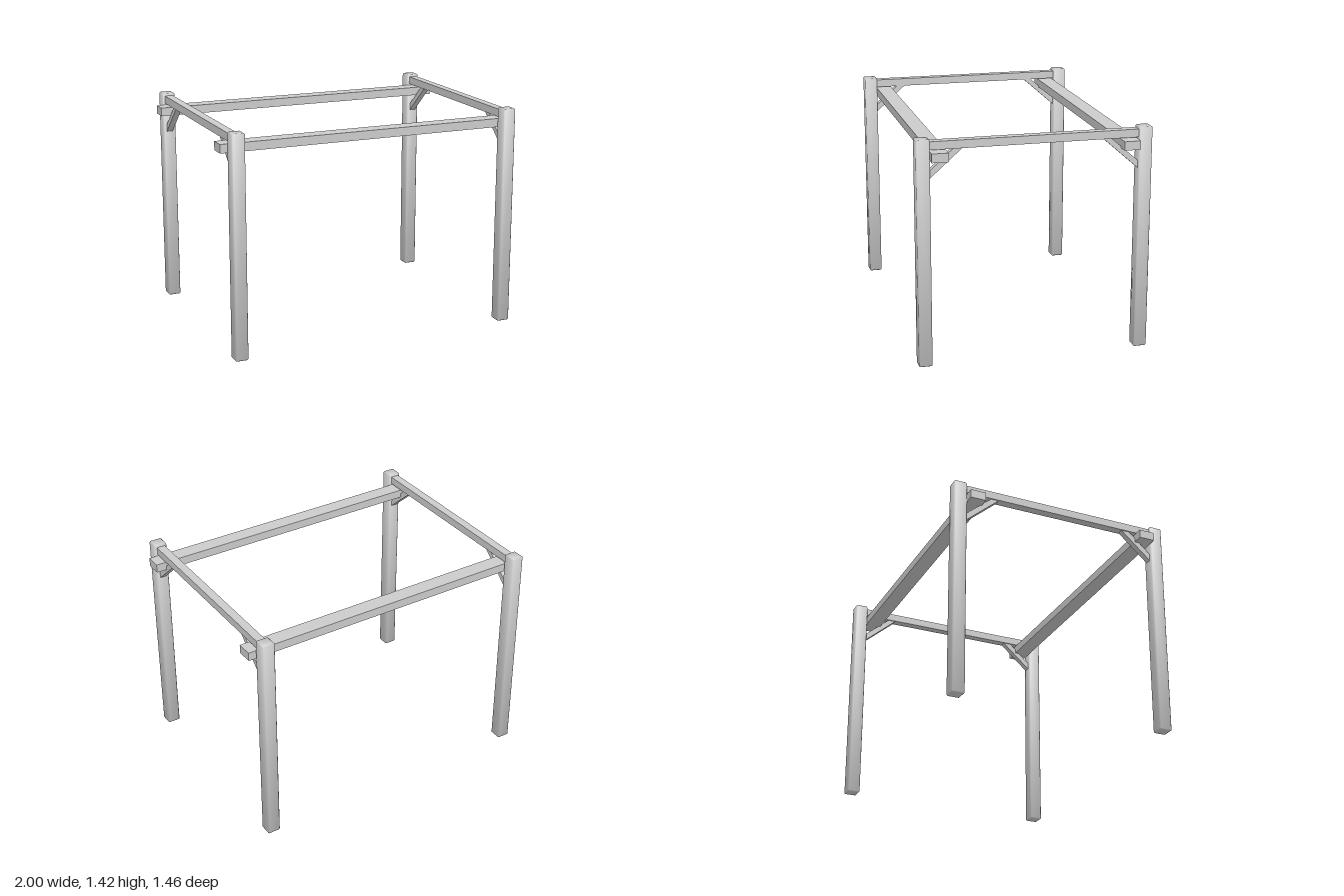
import * as THREE from 'three';
import { ConvexGeometry } from 'three/addons/geometries/ConvexGeometry.js';

const material = new THREE.MeshStandardMaterial({ color: 0xcccccc });

// Box with narrow chamfers and softened vertex normals
function chamferedBox(w, h, d, c) {
  const half = [w / 2, h / 2, d / 2];
  const points = [];
  for (let axis = 0; axis < 3; axis++)
    for (const sx of [-1, 1]) for (const sy of [-1, 1]) for (const sz of [-1, 1]) {
      const p = [sx, sy, sz].map((s, i) => s * (half[i] - (i === axis ? 0 : c)));
      points.push(new THREE.Vector3(...p));
    }
  const geometry = new ConvexGeometry(points);
  const { position, normal } = geometry.attributes;
  for (let i = 0; i < position.count; i++) {
    const n = half.map((size, k) => {
      const v = position.getComponent(i, k);
      return Math.sign(v) * (Math.abs(v) > size - c / 2 ? 0.87 : 0.35);
    });
    normal.setXYZ(i, ...n);
  }
  return geometry;
}

// Diagonal brace: [z, y] outline extruded across x
function braceGeometry(outline, width) {
  const shape = new THREE.Shape(outline.map(([z, y]) => new THREE.Vector2(-z, y)));
  const geometry = new THREE.ExtrudeGeometry(shape, { depth: width, bevelEnabled: false });
  return geometry.translate(0, 0, -width / 2).rotateY(Math.PI / 2);
}

export function createModel() {
  const model = new THREE.Group();
  model.name = 'frame';
  const add = (name, geometry, x, y, z) => {
    const mesh = new THREE.Mesh(geometry, material);
    mesh.name = name;
    mesh.position.set(x, y, z);
    model.add(mesh);
  };

  const postX = 0.913, postZ = 0.686, postSize = 0.084, postHeight = 1.42;
  const post = chamferedBox(postSize, postHeight, postSize, 0.007);
  const sideRail = new THREE.BoxGeometry(0.055, 0.05, 1.29);
  const crossBeam = new THREE.BoxGeometry(2, 0.055, 0.102);
  const frontBrace = braceGeometry([[0.65, 1.172], [0.65, 1.219], [0.498, 1.356], [0.442, 1.356]], 0.04);
  const backBrace = braceGeometry([[-0.65, 1.156], [-0.65, 1.203], [-0.473, 1.356], [-0.422, 1.356]], 0.04);

  // Posts, rails and braces on each side
  for (const [side, x] of [['left', postX], ['right', -postX]]) {
    add(side + 'FrontPost', post, x, postHeight / 2, postZ);
    add(side + 'BackPost', post, x, postHeight / 2, -postZ);
    add(side + 'Rail', sideRail, x, 1.379, 0);
    add(side + 'FrontBrace', frontBrace, x, 0, 0);
    add(side + 'BackBrace', backBrace, x, 0, 0);
  }

  // Long beams hung just inside the posts
  add('frontBeam', crossBeam, 0, 1.318, 0.592);
  add('backBeam', crossBeam, 0, 1.318, -0.588);
  return model;
}
